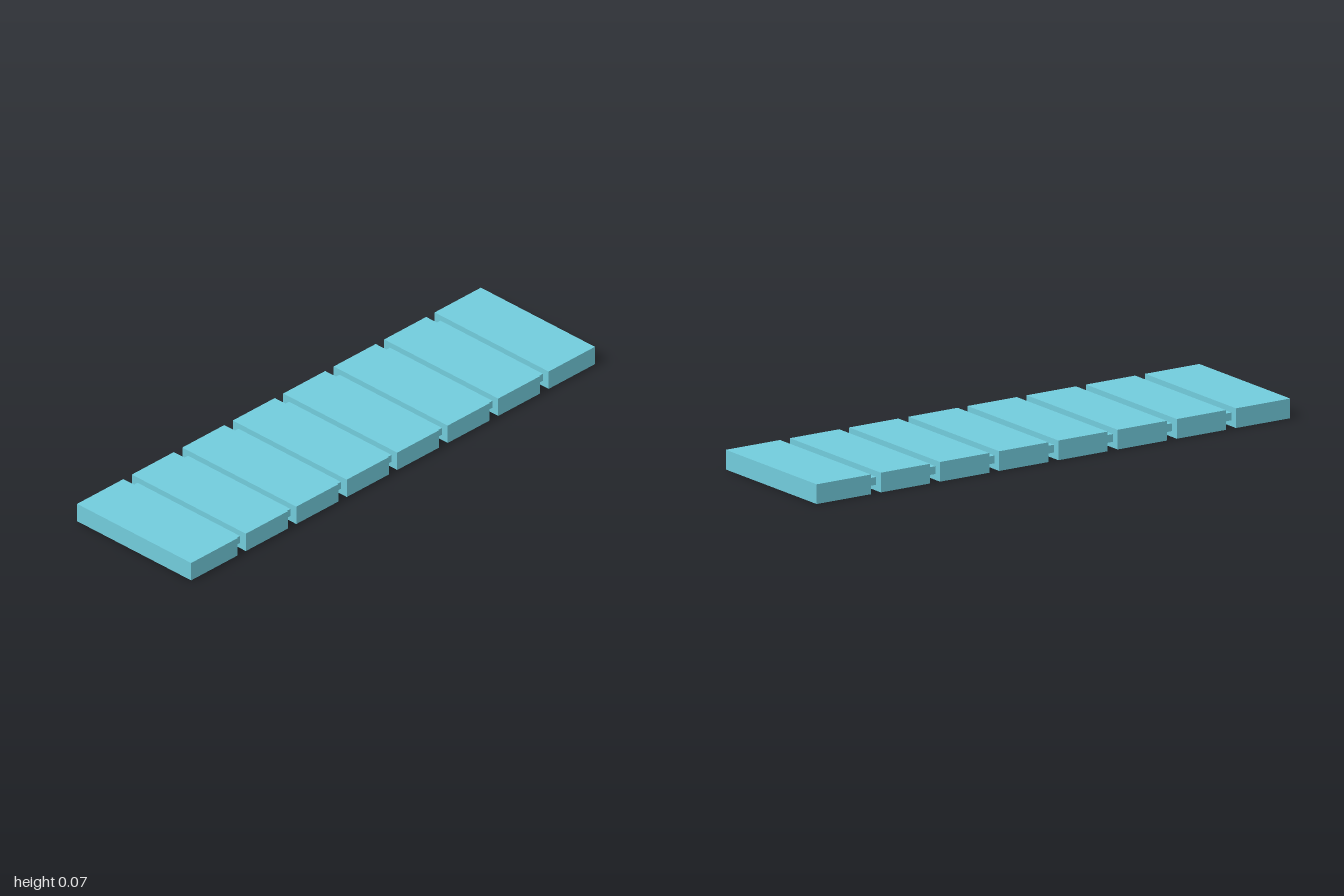
import * as THREE from 'three';

const COUNT = 8;
const PITCH = 0.25;
const GAP = 0.042;
const HEIGHT = 0.071;
const DEPTH = 0.556;

export function createModel() {
  const model = new THREE.Group();
  model.name = 'segmentedSlab';
  const material = new THREE.MeshStandardMaterial({ color: 0x72ccdc, flatShading: true });

  // Box spanning x0..x1, centred on z and at mid height
  const addBox = (name, x0, x1, height, depth) => {
    const mesh = new THREE.Mesh(new THREE.BoxGeometry(x1 - x0, height, depth), material);
    mesh.position.set((x0 + x1) / 2, HEIGHT / 2, 0);
    mesh.name = name;
    model.add(mesh);
  };

  for (let i = 0; i < COUNT; i++) {
    const start = -1 + i * PITCH;
    const end = start + PITCH;
    const first = i === 0;
    const last = i === COUNT - 1;

    // Slabs: the two end ones run out to the full length
    addBox(`slab${i + 1}`, first ? start : start + GAP / 2, last ? end : end - GAP / 2, HEIGHT, DEPTH);

    // Thinner, narrower strip bridging the gap to the next slab
    if (!last) addBox(`joint${i + 1}`, end - GAP / 2, end + GAP / 2, 0.028, 0.5);
  }
  return model;
}
